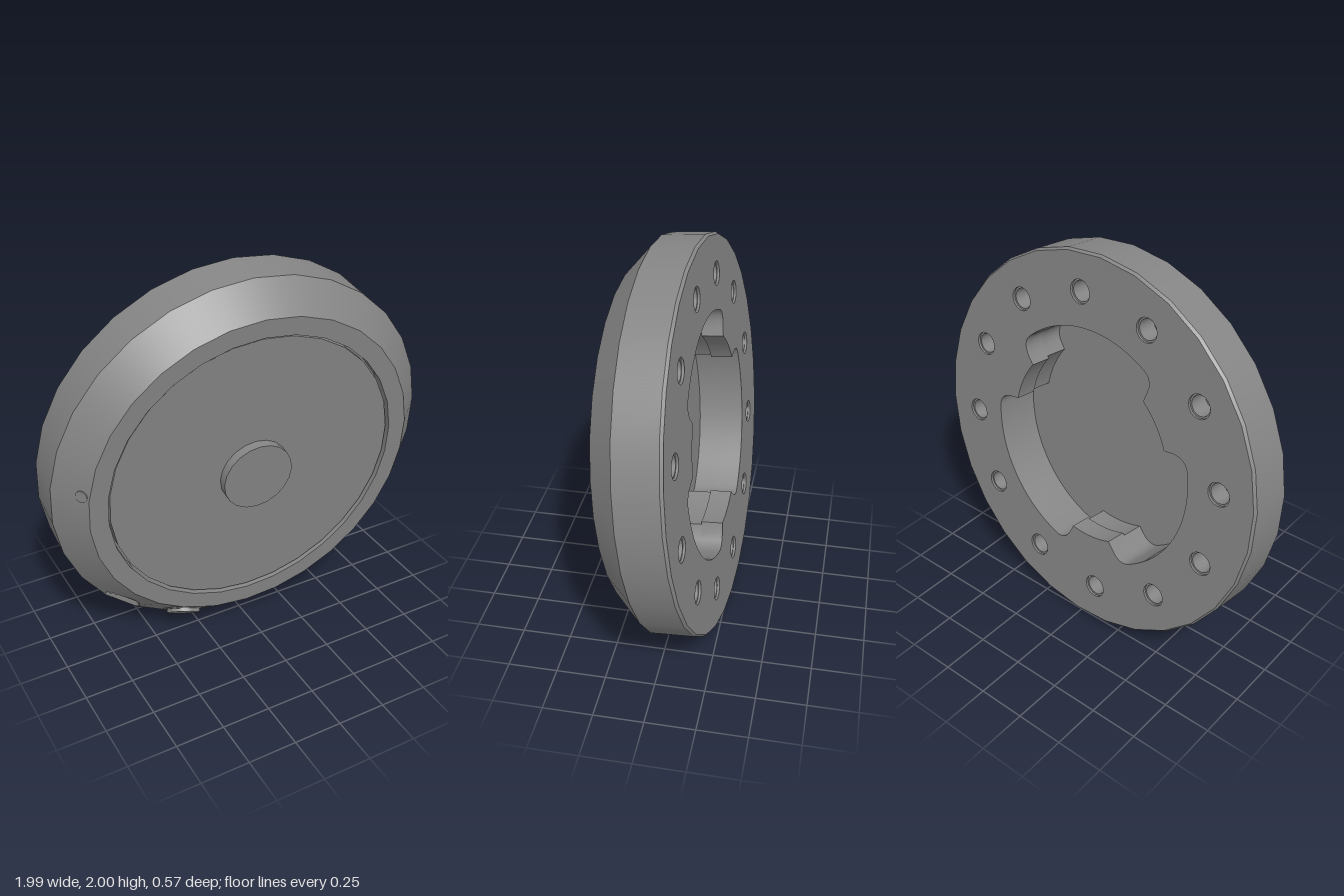
import * as THREE from 'three';
import { toCreasedNormals } from 'three/addons/utils/BufferGeometryUtils.js';

const SIDES = 30;
const R = 0.995;          // outer radius
const FACE_R = 0.857;     // front face radius
const FRONT = 0.139, BACK = -0.225;
const rad = THREE.MathUtils.degToRad;
const material = new THREE.MeshStandardMaterial({ color: 0x858585 });

function add(parent, name, geometry) {
  const mesh = new THREE.Mesh(geometry, material);
  mesh.name = name;
  parent.add(mesh);
  return mesh;
}

// Closed loop of points, starting at the bottom
function ringPoints(radiusAt, count, cx = 0, cy = 0) {
  return Array.from({ length: count }, (_, i) => {
    const a = (i / count) * Math.PI * 2 - Math.PI / 2;
    const r = radiusAt(a);
    return new THREE.Vector2(cx + r * Math.cos(a), cy + r * Math.sin(a));
  });
}

const chamferZ = r => FRONT * (R - r) / (R - FACE_R);

// Outer shell: side wall, chamfer, front face with groove; a scallop is milled into the chamfer
function shellGeometry() {
  const profile = [[0.985, BACK], [R, BACK + 0.014], [R, 0]];
  const steps = 24;
  for (let i = 1; i <= steps; i++) {
    const r = R + (FACE_R - R) * i / steps;
    profile.push([r, chamferZ(r)]);
  }
  profile.push([0.763, FRONT], [0.763, 0.08], [0.751, 0.08], [0.751, 0.125], [0.001, 0.125]);
  const lathe = new THREE.LatheGeometry(profile.map(p => new THREE.Vector2(...p)), SIDES * 12);
  const geo = toCreasedNormals(lathe.rotateX(Math.PI / 2), 0.6);

  const pos = geo.attributes.position, normal = geo.attributes.normal;
  const step = (Math.PI * 2) / SIDES;
  const cutX = 1.085 * Math.cos(rad(227.4)), cutY = 1.085 * Math.sin(rad(227.4));
  const cutR = 0.165, floor = 0.004, snap = 0.008;
  for (let i = 0; i < pos.count; i++) {
    // flatten the circle into a regular polygon, keeping the round normals
    const a = Math.atan2(pos.getY(i), pos.getX(i)) + Math.PI * 2;
    const k = Math.cos(step / 2) / Math.cos(((a + step / 2) % step) - step / 2);
    let x = pos.getX(i) * k, y = pos.getY(i) * k, z = pos.getZ(i);

    // scallop: drop the inside to a flat floor, pull nearby points onto its rim
    const d = Math.hypot(x - cutX, y - cutY);
    if (z > floor && z < FRONT - 0.001 && d < cutR + snap) {
      if (d > cutR - snap) {
        x = cutX + (x - cutX) * cutR / d;
        y = cutY + (y - cutY) * cutR / d;
      }
      if (d < cutR) {
        z = floor;
        normal.setXYZ(i, 0, 0, 1);
      } else {
        z = Math.max(floor, chamferZ(Math.hypot(x, y)));
      }
    }
    pos.setXYZ(i, x, y, z);
  }
  return geo;
}

// Bayonet opening: three wide lobes between three inward tabs
const LOBES = [[38, 128], [158, 248], [278, 368]];
function openingRadius(a, tabR) {
  const deg = THREE.MathUtils.radToDeg(a);
  let r = tabR;
  for (const [from, to] of LOBES) {
    for (const d of [deg, deg + 360]) {
      const t = Math.min(1, Math.min(d - from, to - d) / 8);
      if (t > 0) r = tabR + (0.62 - tabR) * Math.sqrt(1 - (1 - t) ** 2);
    }
  }
  return r;
}

// Plate with the opening and, if boltR is given, a circle of twelve bolt holes
function plate(radius, tabR, boltR, depth, z) {
  const shape = new THREE.Shape(ringPoints(() => radius, SIDES));
  shape.holes.push(new THREE.Path(ringPoints(a => openingRadius(a, tabR), 240)));
  for (let i = 0; boltR && i < 12; i++) {
    const a = rad(22 + i * 30);
    shape.holes.push(new THREE.Path(
      ringPoints(() => boltR, 18, 0.795 * Math.cos(a), 0.795 * Math.sin(a))));
  }
  const geo = new THREE.ExtrudeGeometry(shape, { depth, bevelEnabled: false });
  return toCreasedNormals(geo.translate(0, 0, z), 0.6);
}

// Round part standing square on the chamfer
function chamferStud(parent, name, angle, r, radius, height) {
  const a = rad(angle);
  const normal = new THREE.Vector3(FRONT * Math.cos(a), FRONT * Math.sin(a), R - FACE_R).normalize();
  const stud = add(parent, name, new THREE.CylinderGeometry(radius, radius, height * 2, 20));
  stud.position.set(r * Math.cos(a), r * Math.sin(a), chamferZ(r));
  stud.quaternion.setFromUnitVectors(new THREE.Vector3(0, 1, 0), normal);
}

export function createModel() {
  const model = new THREE.Group();
  model.name = 'mountRing';

  // Everything is built along z, then leaned slightly
  const body = new THREE.Group();
  body.name = 'body';
  body.position.set(-0.004, 0.995, 0.05);
  body.quaternion.setFromUnitVectors(
    new THREE.Vector3(0, 0, 1), new THREE.Vector3(-0.05, -0.104, 1).normalize());
  model.add(body);

  add(body, 'outerShell', shellGeometry());

  // Front hub
  add(body, 'centreBoss', new THREE.CylinderGeometry(0.183, 0.183, 0.05, 20)
    .rotateX(Math.PI / 2).translate(0, 0, 0.148));

  // Back plate in layers: countersunk face, bolt layer, stepped tab layer
  add(body, 'backFace', plate(0.985, 0.5, 0.06, 0.012, BACK));
  add(body, 'boltLayer', plate(0.984, 0.5, 0.051, 0.1, BACK + 0.012));
  add(body, 'tabStep', plate(0.96, 0.515, 0, 0.128, BACK + 0.112));
  add(body, 'cavityFloor', new THREE.CircleGeometry(0.64, 60)
    .rotateY(Math.PI).translate(0, 0, 0.012));

  // Release button with collar, and index dot
  chamferStud(body, 'buttonCollar', 247.9, 0.915, 0.105, 0.003);
  chamferStud(body, 'releaseButton', 247.9, 0.915, 0.088, 0.02);
  chamferStud(body, 'indexDot', 173, 0.885, 0.03, 0.004);

  return model;
}
